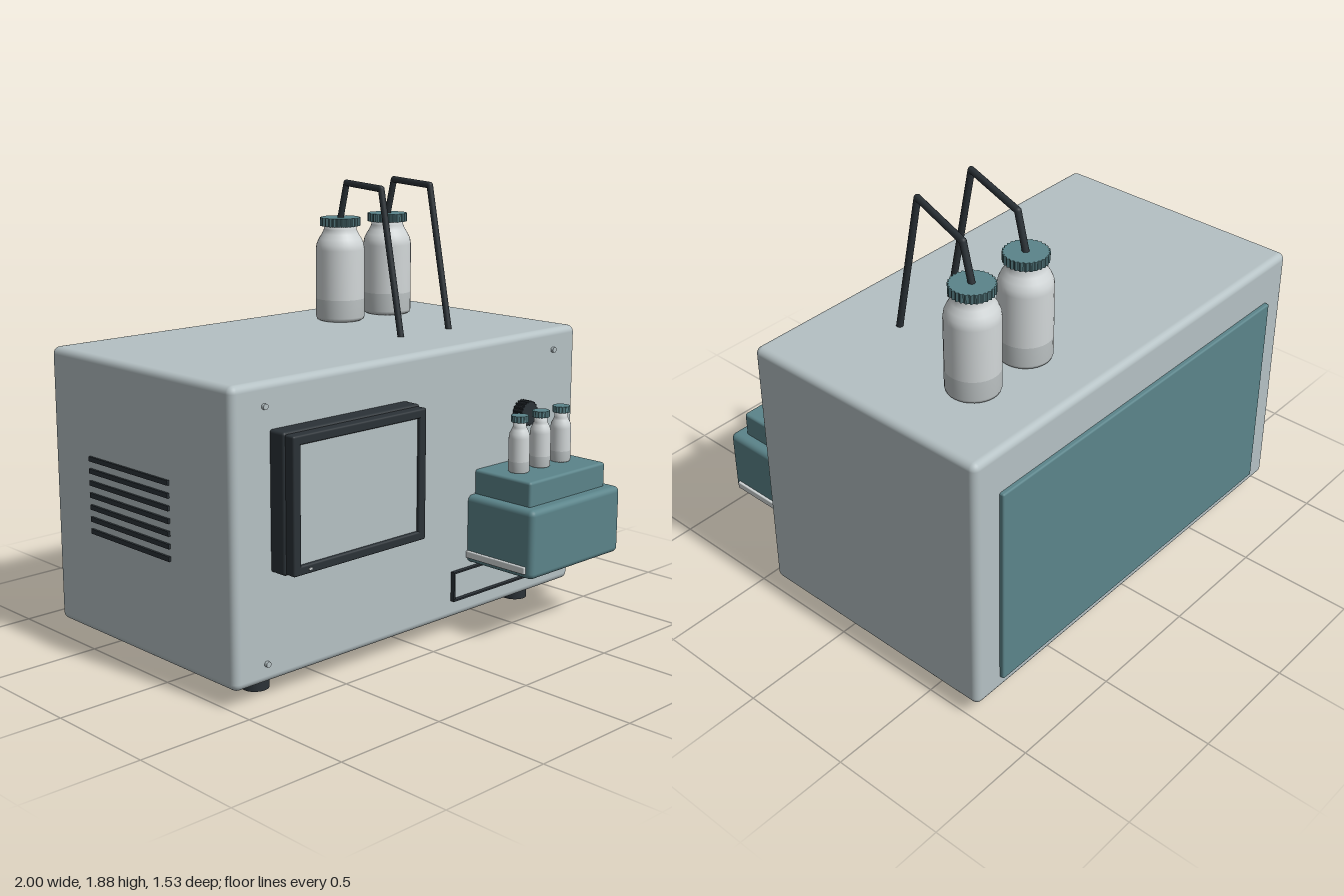
import * as THREE from 'three';
import { RoundedBoxGeometry } from 'three/addons/geometries/RoundedBoxGeometry.js';

const mat = (name, color) => {
  const m = new THREE.MeshStandardMaterial({ color });
  m.name = name;
  return m;
};

export function createModel() {
  const shell = mat('shell grey', 0xb5c1c4);
  const teal = mat('teal', 0x5b848a);
  const dark = mat('dark trim', 0x2b3237);
  const glass = mat('bottle white', 0xd2d7d8);
  const liquid = mat('liquid grey', 0xbcc2c3);
  const model = new THREE.Group();
  model.name = 'benchAnalyser';

  const add = (name, geo, m, parent = model) => {
    const mesh = new THREE.Mesh(geo, m);
    mesh.name = name;
    parent.add(mesh);
    return mesh;
  };
  // Box given by its min and max corners, with optional rounded edges
  const box = (name, m, [x0, y0, z0], [x1, y1, z1], r = 0) => {
    const s = [x1 - x0, y1 - y0, z1 - z0];
    const geo = r ? new RoundedBoxGeometry(...s, 3, r) : new THREE.BoxGeometry(...s);
    geo.translate((x0 + x1) / 2, (y0 + y1) / 2, (z0 + z1) / 2);
    return add(name, geo, m);
  };
  // Rectangular frame of four bars
  const frame = (name, m, x0, x1, y0, y1, z0, z1, w, r = 0) => {
    box(name + 'Left', m, [x0, y0, z0], [x0 + w, y1, z1], r);
    box(name + 'Right', m, [x1 - w, y0, z0], [x1, y1, z1], r);
    box(name + 'Bottom', m, [x0 + w / 2, y0, z0], [x1 - w / 2, y0 + w, z1], r);
    box(name + 'Top', m, [x0 + w / 2, y1 - w, z0], [x1 - w / 2, y1, z1], r);
  };
  // Disc with a fluted rim, extruded along z
  const fluted = (r, depth, n, cut) => {
    const pts = [];
    for (let i = 0; i < n * 4; i++) {
      const a = (i / (n * 4)) * Math.PI * 2;
      const k = i % 4 < 2 ? r : r - cut;
      pts.push(new THREE.Vector2(k * Math.cos(a), k * Math.sin(a)));
    }
    return new THREE.ExtrudeGeometry(new THREE.Shape(pts), { depth, bevelEnabled: false });
  };
  const lathe = (pts, seg = 32) => new THREE.LatheGeometry(pts.map(p => new THREE.Vector2(...p)), seg);

  // Housing, back panel and feet
  box('housing', shell, [-0.99, 0.07, -0.75], [0.997, 1.25, 0.41], 0.03);
  box('backPanel', teal, [-0.86, 0.135, -0.77], [0.865, 1.06, -0.74], 0.008);
  for (const x of [-0.775, 0.78]) for (const z of [-0.595, 0.27]) {
    const foot = add('foot', new THREE.CylinderGeometry(0.057, 0.057, 0.08, 24), dark);
    foot.position.set(x, 0.04, z);
  }

  // Cooling vents on the right-hand wall
  for (let i = 0; i < 7; i++) {
    const y = 0.515 + i * 0.051;
    box('ventSlat', dark, [-1, y - 0.01, -0.49], [-0.985, y + 0.01, 0.03]);
  }

  // Corner screws
  for (const x of [-0.833, 0.838]) for (const y of [0.15, 1.157]) {
    const screw = add('screw', new THREE.CylinderGeometry(0.012, 0.012, 0.02, 16), shell);
    screw.rotation.x = Math.PI / 2;
    screw.position.set(x, y, 0.413);
  }

  // Display: backing block, raised bezel, screen and status light
  box('displayBack', dark, [-0.805, 0.51, 0.4], [-0.08, 1.065, 0.487], 0.012);
  box('displayCore', dark, [-0.78, 0.53, 0.48], [-0.1, 1.04, 0.512]);
  frame('bezel', dark, -0.797, -0.088, 0.515, 1.057, 0.48, 0.532, 0.038, 0.008);
  box('screen', shell, [-0.76, 0.552, 0.51], [-0.125, 1.02, 0.517]);
  box('statusLight', glass, [-0.725, 0.53, 0.53], [-0.708, 0.538, 0.535]);

  // Sampling unit with side rails
  box('samplerBase', teal, [0.3, 0.3, 0.39], [0.892, 0.597, 0.765], 0.025);
  box('samplerDeck', teal, [0.345, 0.58, 0.39], [0.845, 0.702, 0.712], 0.012);
  for (const x of [0.296, 0.896])
    box('sideRail', glass, [x - 0.007, 0.323, 0.41], [x + 0.007, 0.355, 0.735], 0.005);

  // Thin outlined frame below the sampler
  frame('trayFrame', dark, 0.2, 0.682, 0.15, 0.28, 0.405, 0.43, 0.007);

  // Control knob
  const knob = add('knob', fluted(0.055, 0.05, 20, 0.006), dark);
  knob.position.set(0.615, 0.915, 0.425);
  const shaft = add('knobShaft', new THREE.CylinderGeometry(0.035, 0.035, 0.04, 20), dark);
  shaft.rotation.x = Math.PI / 2;
  shaft.position.set(0.615, 0.915, 0.415);

  // Container: lower band, upper body and ribbed cap
  const container = (name, x, y, z, lower, upper, capR, capY, capH, ribs) => {
    const g = new THREE.Group();
    g.name = name;
    g.position.set(x, y, z);
    add(name + 'Base', lathe(lower), liquid, g);
    add(name + 'Body', lathe(upper), glass, g);
    const cap = add(name + 'Cap', fluted(capR, capH, ribs, capR * 0.06), teal, g);
    cap.rotation.x = -Math.PI / 2;
    cap.position.y = capY;
    model.add(g);
  };
  for (const x of [0.457, 0.595, 0.732])
    container('vial', x, 0.7, 0.553,
      [[0, 0], [0.04, 0], [0.045, 0.006], [0.045, 0.05]],
      [[0.045, 0.05], [0.045, 0.15], [0.042, 0.168], [0.034, 0.185], [0.029, 0.195], [0.029, 0.225], [0, 0.225]],
      0.038, 0.218, 0.027, 16);
  for (const x of [0.34, 0.638])
    container('bottle', x, 1.25, -0.42,
      [[0, 0], [0.095, 0], [0.106, 0.006], [0.11, 0.018], [0.11, 0.1]],
      [[0.11, 0.1], [0.11, 0.32], [0.106, 0.345], [0.096, 0.368], [0.082, 0.39], [0.073, 0.41], [0.073, 0.44], [0, 0.44]],
      0.091, 0.425, 0.037, 28);

  // Bent feed lines from each bottle cap to the housing
  for (const dx of [0, 0.298]) {
    const path = [[0.34, 1.7, -0.42], [0.34, 1.867, -0.378], [0.213, 1.867, -0.033], [0.213, 1.245, 0.09]]
      .map(([x, y, z]) => new THREE.Vector3(x + dx, y, z));
    for (let i = 0; i < 3; i++) {
      const seg = new THREE.LineCurve3(path[i], path[i + 1]);
      add('feedLine', new THREE.TubeGeometry(seg, 1, 0.0145, 12), dark);
      if (i) add('feedElbow', new THREE.SphereGeometry(0.0145, 12, 8), dark).position.copy(path[i]);
    }
  }
  return model;
}
